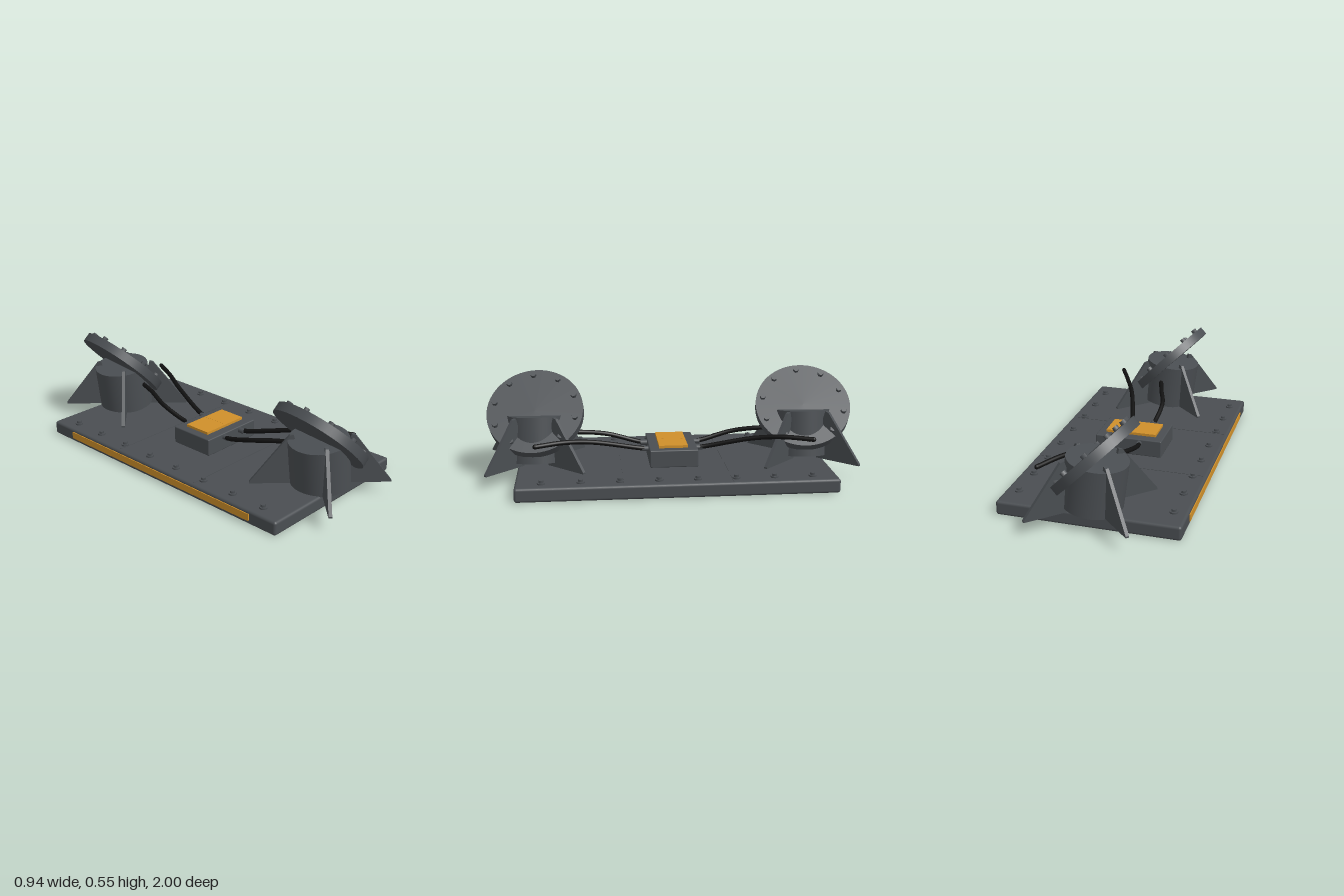
import * as THREE from 'three';
import { RoundedBoxGeometry } from 'three/addons/geometries/RoundedBoxGeometry.js';

const material = (name, color) => {
  const m = new THREE.MeshStandardMaterial({ color });
  m.name = name;
  return m;
};

export function createModel() {
  const steel = material('dark steel', 0x4a4e52);
  const amber = material('amber', 0xd0902a);
  const rubber = material('black rubber', 0x111111);
  const model = new THREE.Group();

  const add = (parent, name, geometry, mat, x = 0, y = 0, z = 0) => {
    const mesh = new THREE.Mesh(geometry, mat);
    mesh.name = name;
    mesh.position.set(x, y, z);
    parent.add(mesh);
    return mesh;
  };

  // Base slab with an amber strip along its right side
  const top = 0.075;
  add(model, 'base', new RoundedBoxGeometry(0.94, top, 1.67, 3, 0.014), steel, 0, top / 2, 0);
  add(model, 'sideStrip', new THREE.BoxGeometry(0.008, 0.038, 1.34), amber, -0.471, 0.04, 0);

  // Thin panel seams across the base
  for (const z of [-0.28, 0.28]) {
    add(model, 'panelSeam', new THREE.BoxGeometry(0.9, 0.002, 0.005), steel, 0, top + 0.001, z);
  }

  // Hex bolts on washers
  const washer = new THREE.CylinderGeometry(0.021, 0.021, 0.008, 16);
  const hexHead = new THREE.CylinderGeometry(0.013, 0.013, 0.014, 6);
  const addBolt = (parent, x, y, z) => {
    const bolt = new THREE.Group();
    bolt.name = 'bolt';
    bolt.position.set(x, y, z);
    add(bolt, 'washer', washer, steel, 0, 0.004, 0);
    add(bolt, 'boltHead', hexHead, steel, 0, 0.013, 0);
    parent.add(bolt);
  };
  for (const x of [-0.4, 0.4]) {
    for (let i = 0; i < 8; i++) addBolt(model, x, top, -0.7 + i * 0.2);
  }

  // Central control box with an amber lid in two halves
  add(model, 'controlBox', new RoundedBoxGeometry(0.37, 0.095, 0.26, 2, 0.006), steel, 0, 0.1225, 0);
  for (const s of [-1, 1]) {
    add(model, 'lidHalf', new THREE.BoxGeometry(0.139, 0.015, 0.155), amber, s * 0.07, 0.1765, 0);
  }

  // Triangular brace profile: x is the distance from the pedestal axis
  const braceShape = new THREE.Shape([
    [0.1, top], [0.362, top], [0.362, top + 0.008], [0.165, 0.34], [0.145, 0.345], [0.1, 0.2],
  ].map(([x, y]) => new THREE.Vector2(x, y)));
  const brace = new THREE.ExtrudeGeometry(braceShape, { depth: 0.018, bevelEnabled: false });
  brace.translate(0, 0, -0.009);

  // Two identical pedestals, each with braces and a tilted bolted flange
  const flangeNormal = new THREE.Vector3(0.704, 0.704, 0.087).normalize();
  for (const s of [1, -1]) {
    const mount = new THREE.Group();
    mount.name = s > 0 ? 'frontMount' : 'backMount';
    mount.position.z = s * 0.737;
    model.add(mount);

    const pedestal = add(mount, 'pedestal',
      new THREE.CylinderGeometry(0.155, 0.155, 0.248, 48), steel, -0.016, 0.207, 0);
    pedestal.rotation.z = 0.13;

    for (let i = 0; i < 4; i++) {
      add(mount, 'brace', brace, steel).rotation.y = Math.PI / 4 + i * Math.PI / 2;
    }

    const flange = new THREE.Group();
    flange.name = 'flange';
    flange.position.set(-0.02, 0.343, 0);
    flange.quaternion.setFromUnitVectors(new THREE.Vector3(0, 1, 0), flangeNormal);
    mount.add(flange);
    add(flange, 'flangeDisc', new THREE.CylinderGeometry(0.261, 0.261, 0.05, 64), steel);
    for (let i = 0; i < 10; i++) {
      const a = Math.PI + i * Math.PI / 5;
      const b = add(flange, 'flangeBolt', new THREE.CylinderGeometry(0.016, 0.016, 0.02, 6), steel,
        0.225 * Math.cos(a), 0.034, 0.225 * Math.sin(a));
      b.rotation.y = a;
    }
  }

  // Cables from the control box: one to the pedestal, one with a free end
  const cablePaths = [
    [[0.062, 0.148, 0.13], [0.068, 0.155, 0.18], [0.145, 0.215, 0.43], [0.215, 0.237, 0.58], [0.285, 0.238, 0.73]],
    [[-0.062, 0.148, 0.13], [-0.068, 0.155, 0.18], [-0.068, 0.2, 0.34], [-0.025, 0.227, 0.48], [0.02, 0.238, 0.64]],
  ];
  for (const s of [1, -1]) {
    for (const path of cablePaths) {
      const points = path.map(([x, y, z]) => new THREE.Vector3(x, y, s * z));
      const curve = new THREE.CatmullRomCurve3(points);
      add(model, 'cable', new THREE.TubeGeometry(curve, 40, 0.0125, 10), rubber);
      // Round caps on the free end
      const end = points[points.length - 1];
      add(model, 'cableEnd', new THREE.SphereGeometry(0.0125, 10, 8), rubber, end.x, end.y, end.z);
      const gland = add(model, 'cableGland', new THREE.CylinderGeometry(0.015, 0.015, 0.04, 12), steel,
        path[0][0], 0.149, s * 0.145);
      gland.rotation.x = Math.PI / 2;
    }
  }

  return model;
}
